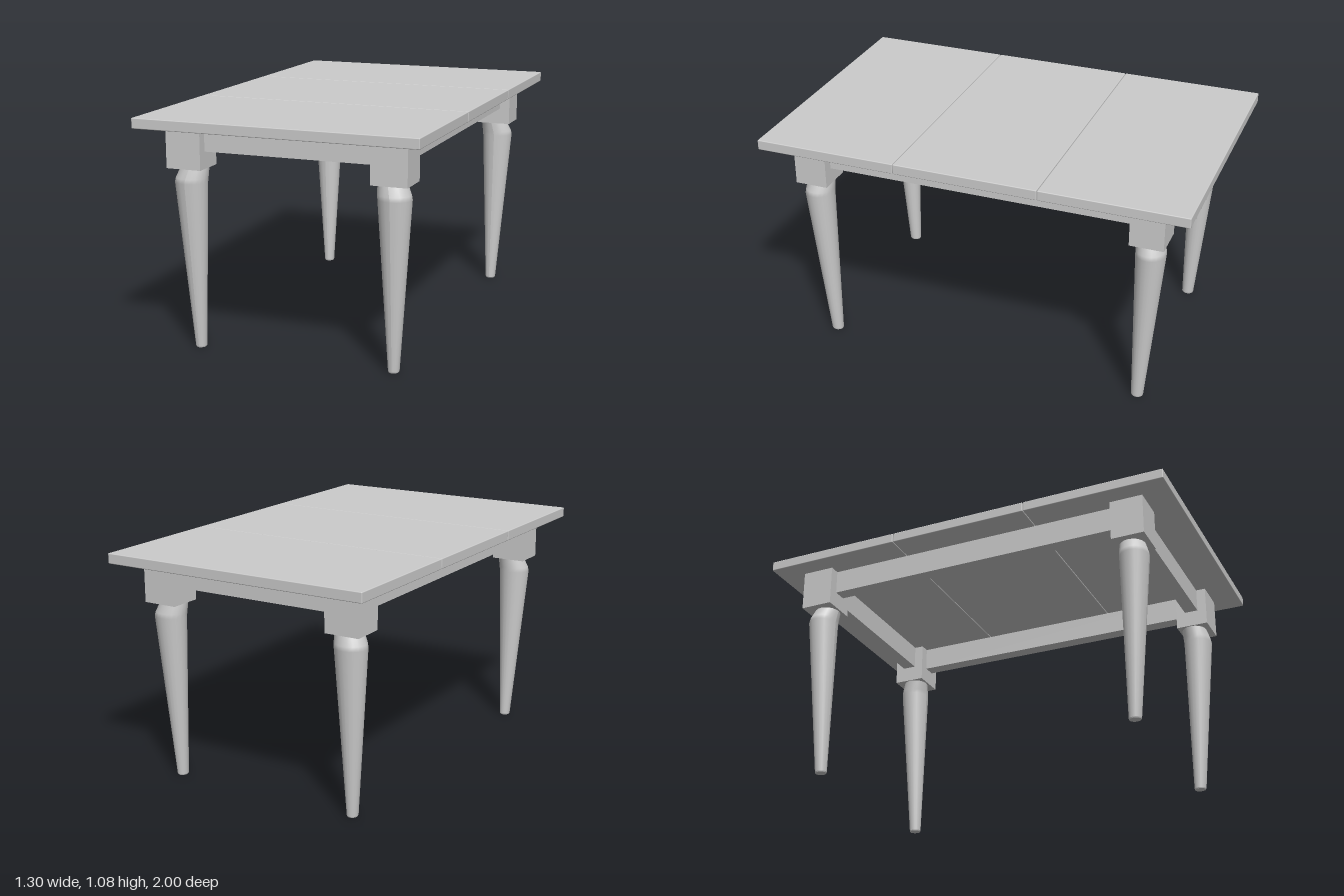
import * as THREE from 'three';
import { RoundedBoxGeometry } from 'three/addons/geometries/RoundedBoxGeometry.js';

const material = new THREE.MeshStandardMaterial({ color: 0xcccccc });

function addMesh(parent, name, geometry, x = 0, y = 0, z = 0) {
  const mesh = new THREE.Mesh(geometry, material);
  mesh.name = name;
  mesh.position.set(x, y, z);
  parent.add(mesh);
  return mesh;
}

// Leg sections for the +x, +z corner: [y, xMin, xMax, zMin, zMax]
const LEG = [
  [0.005, 0.438, 0.488, 0.738, 0.795],
  [0.77, 0.4, 0.549, 0.73, 0.865],
  [0.79, 0.398, 0.545, 0.729, 0.862],
  [0.84, 0.396, 0.522, 0.727, 0.846],
];

// Smooth, off-centre taper: each ring of a cylinder is fitted to its section
function legGeometry(sx, sz) {
  const sides = 20;
  const geo = new THREE.CylinderGeometry(1, 1, 1, sides, LEG.length - 1, true);
  const pos = geo.attributes.position;
  for (let i = 0; i < pos.count; i++) {
    const row = Math.round((pos.getY(i) + 0.5) * (LEG.length - 1));
    const [y, x0, x1, z0, z1] = LEG[row];
    pos.setXYZ(i,
      sx * (x0 + x1) / 2 + pos.getX(i) * (x1 - x0) / 2,
      y,
      sz * (z0 + z1) / 2 + pos.getZ(i) * (z1 - z0) / 2);
  }
  geo.computeVertexNormals();
  return geo;
}

export function createModel() {
  const table = new THREE.Group();
  table.name = 'table';

  // Three top boards with a hairline joint between them
  for (let i = -1; i <= 1; i++) {
    addMesh(table, 'topBoard', new RoundedBoxGeometry(1.296, 0.047, 0.665, 2, 0.004), 0, 1.0515, i * 0.6675);
  }

  // Corner blocks, tapered legs and flat feet
  for (const sx of [-1, 1]) {
    for (const sz of [-1, 1]) {
      const corner = new THREE.Group();
      corner.name = 'leg';
      table.add(corner);
      addMesh(corner, 'cornerBlock', new THREE.BoxGeometry(0.164, 0.195, 0.154), sx * 0.473, 0.9355, sz * 0.795);
      addMesh(corner, 'taperedLeg', legGeometry(sx, sz));
      const foot = addMesh(corner, 'foot', new THREE.CylinderGeometry(0.025, 0.023, 0.006, 20), sx * 0.463, 0.003, sz * 0.7665);
      foot.scale.z = 1.14;
    }
  }

  // Aprons between the blocks
  for (const s of [-1, 1]) {
    addMesh(table, 'endApron', new THREE.BoxGeometry(0.79, 0.115, 0.065), 0, 0.9725, s * 0.795);
    addMesh(table, 'sideApron', new THREE.BoxGeometry(0.065, 0.115, 1.45), s * 0.473, 0.9725, 0);
  }

  return table;
}
